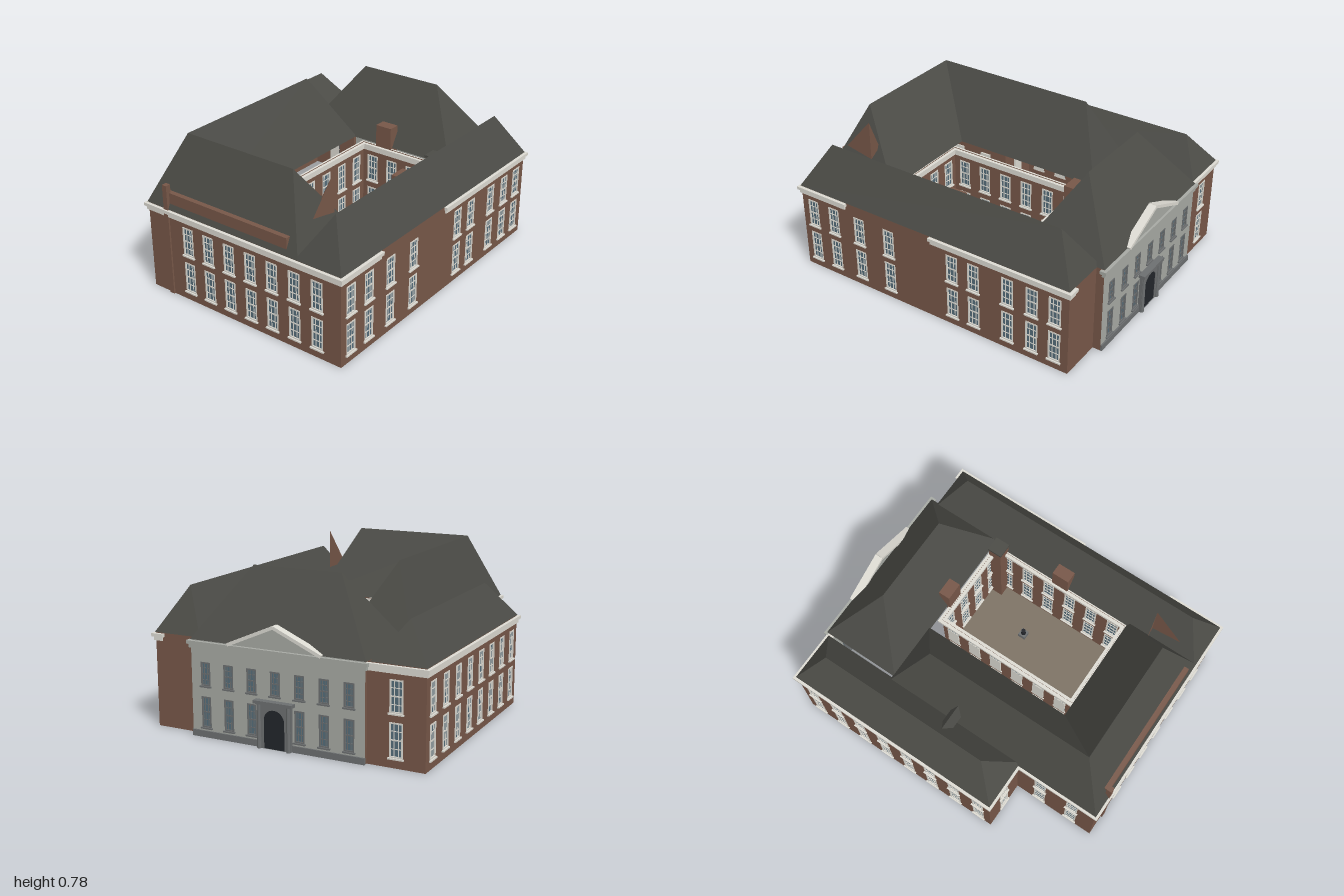
import * as THREE from 'three';
import { mergeGeometries } from 'three/addons/utils/BufferGeometryUtils.js';

const mat = color => new THREE.MeshStandardMaterial({ color, side: THREE.DoubleSide, flatShading: true });
const brick = mat(0x775748);
const roofing = mat(0x4b4b46);
const stone = mat(0xa6a9a3);
const darkStone = mat(0x6c6f70);
const white = mat(0xdcdad2);
const glass = mat(0x546c7a);
const paving = mat(0x7d7264);
const black = mat(0x22252a);

const EAVE = 0.45;
const ROWS = [[0.045, 0.2], [0.24, 0.385]];
const FACADE_ROWS = [[0.045, 0.19], [0.24, 0.35]];

function add(parent, name, geometry, material, x = 0, y = 0, z = 0) {
  const mesh = new THREE.Mesh(geometry, material);
  mesh.name = name;
  mesh.position.set(x, y, z);
  parent.add(mesh);
  return mesh;
}

const box = (w, h, d, x = 0, y = 0, z = 0) => new THREE.BoxGeometry(w, h, d).translate(x, y, z);

function faces(polys) {
  const pos = [];
  for (const p of polys)
    for (let i = 1; i < p.length - 1; i++) pos.push(...p[0], ...p[i], ...p[i + 1]);
  const g = new THREE.BufferGeometry();
  g.setAttribute('position', new THREE.Float32BufferAttribute(pos, 3));
  g.computeVertexNormals();
  return g;
}

// Hipped roof over a rectangle; the ridge runs from r0 to r1, each given as [x, z]
function hipRoof(parent, name, [x0, x1, z0, z1], r0, r1, top) {
  const a = [x0, EAVE, z0], b = [x1, EAVE, z0], c = [x1, EAVE, z1], d = [x0, EAVE, z1];
  const p = [r0[0], top, r0[1]], q = [r1[0], top, r1[1]];
  const alongX = r0[1] === r1[1];
  add(parent, name, faces(alongX
    ? [[d, c, q, p], [b, a, p, q], [a, d, p], [c, b, q]]
    : [[a, d, q, p], [c, b, p, q], [b, a, p], [d, c, q]]), roofing);
}

// Wall from p to q (left to right seen from outside) with window openings at
// the given distances and cornices over the given ranges
function wall(parent, name, p, q, windows = [], cornices = null, o = {}) {
  const dx = q[0] - p[0], dz = q[1] - p[1], len = Math.hypot(dx, dz);
  const g = new THREE.Group();
  g.name = name;
  g.position.set(p[0], 0, p[1]);
  g.rotation.y = Math.atan2(-dz, dx);
  parent.add(g);

  const rect = (shape, x0, y0, x1, y1) =>
    shape.moveTo(x0, y0).lineTo(x1, y0).lineTo(x1, y1).lineTo(x0, y1).closePath();
  const shape = rect(new THREE.Shape(), 0, 0, len, EAVE);
  const frames = [], panes = [], w = o.width || 0.062;
  for (const s of windows) for (const [y0, y1] of o.rows || ROWS) {
    const h = y1 - y0, ym = (y0 + y1) / 2;
    shape.holes.push(rect(new THREE.Path(), s - w / 2, y0, s + w / 2, y1));
    panes.push(new THREE.PlaneGeometry(w, h).translate(s, ym, -0.004));
    frames.push(box(w, h, 0.002, s, ym, -0.007));
    for (const e of [-1, 1]) {
      frames.push(box(0.007, h, 0.006, s + e * (w / 2 - 0.003), ym, -0.001));
      frames.push(box(w, 0.007, 0.006, s, ym + e * (h / 2 - 0.003), -0.001));
      frames.push(box(0.003, h, 0.004, s + e * w / 6, ym, -0.003));
    }
    for (const t of [0.25, 0.5, 0.75])
      frames.push(box(w, t === 0.5 ? 0.006 : 0.003, 0.004, s, y0 + h * t, -0.003));
    frames.push(box(w + 0.012, 0.007, 0.014, s, y0 - 0.003, 0.002));
  }
  add(g, 'wallSurface', new THREE.ShapeGeometry(shape), o.material || brick);
  if (windows.length) {
    add(g, 'windowFrames', mergeGeometries(frames), o.trim || white);
    add(g, 'windowPanes', mergeGeometries(panes), glass);
  }
  for (const [s0, s1] of cornices || [[0, len]]) {
    const m = (s0 + s1) / 2, l = s1 - s0;
    add(g, 'cornice', mergeGeometries([
      box(l + 0.032, 0.016, 0.032, m, 0.438, 0),
      box(l + 0.016, 0.016, 0.016, m, 0.42, 0)]), o.corniceMaterial || white);
  }
  return g;
}

const spread = (n, len) => Array.from({ length: n }, (_, i) => len * (i + 0.5) / n);
const series = (n, start, step) => Array.from({ length: n }, (_, i) => start + step * i);

function extrude(points, depth) {
  return new THREE.ExtrudeGeometry(new THREE.Shape(points.map(p => new THREE.Vector2(...p))),
    { depth, bevelEnabled: false });
}

function arch(w, h) {
  const s = new THREE.Shape();
  s.moveTo(-w / 2, 0).lineTo(w / 2, 0).lineTo(w / 2, h - w / 2);
  s.absarc(0, h - w / 2, w / 2, 0, Math.PI, false);
  return s.closePath();
}

export function createModel() {
  const root = new THREE.Group();
  root.name = 'courtyardBuilding';
  const b = new THREE.Group();
  b.name = 'building';
  b.rotation.y = -0.389;
  root.add(b);

  // Outer walls, counter-clockwise from the front
  wall(b, 'frontWall', [-0.515, 0.808], [0.606, 0.808], series(7, 0.243, 0.125));
  wall(b, 'rightWall', [0.606, 0.808], [0.606, -0.725],
    [0.068, 0.198, 0.358, 0.538, 0.908, 1.028, 1.213, 1.343, 1.462], [[0, 0.271], [0.801, 1.533]]);
  wall(b, 'rightWingBackWall', [0.606, -0.725], [0.385, -0.725], [], [[0, 0.03]]);
  wall(b, 'facadeReturn', [0.385, -0.725], [0.385, -0.765], [], []);
  const facade = wall(b, 'stoneFacade', [0.385, -0.765], [-0.485, -0.765], series(7, 0.075, 0.12), null,
    { material: stone, trim: darkStone, corniceMaterial: stone, width: 0.048, rows: FACADE_ROWS });
  wall(b, 'annexReturn', [-0.485, -0.765], [-0.485, -0.748], [], []);
  wall(b, 'annexBackWall', [-0.485, -0.748], [-0.755, -0.748], [0.135]);
  wall(b, 'annexLeftWall', [-0.755, -0.748], [-0.755, 0.375], spread(8, 1.123));
  wall(b, 'annexFrontWall', [-0.755, 0.375], [-0.515, 0.375], [0.12]);
  wall(b, 'leftWingWall', [-0.515, 0.375], [-0.515, 0.808], [0.13, 0.31]);

  // Courtyard walls
  wall(b, 'courtLeftWall', [-0.12, 0.42], [-0.12, -0.34], spread(6, 0.76));
  wall(b, 'courtBackWall', [-0.12, -0.34], [0.355, -0.34], spread(4, 0.475));
  wall(b, 'courtRightWall', [0.355, -0.34], [0.355, 0.42], spread(6, 0.76));
  wall(b, 'courtFrontWall', [0.355, 0.42], [-0.12, 0.42], spread(4, 0.475));

  // Brick band above the front cornice, and the corner pier
  add(b, 'frontParapet', box(0.71, 0.085, 0.026, -0.045, 0.4875, 0.787), brick);
  add(b, 'cornerPier', box(0.026, 0.57, 0.026, -0.397, 0.285, 0.803), brick);

  // Roofs
  hipRoof(b, 'annexRoof', [-0.758, -0.5, -0.752, 0.38], [-0.63, -0.635], [-0.63, 0.25], 0.62);
  hipRoof(b, 'leftWingRoof', [-0.52, -0.19, -0.37, 0.812], [-0.38, -0.2], [-0.38, 0.66], 0.78);
  hipRoof(b, 'frontWingRoof', [-0.52, 0.38, 0.425, 0.812], [-0.38, 0.66], [0.238, 0.66], 0.78);
  hipRoof(b, 'backWingRoof', [-0.49, 0.388, -0.768, -0.36], [-0.265, -0.55], [0.18, -0.55], 0.77);
  hipRoof(b, 'rightWingRoof', [0.362, 0.61, -0.728, 0.812], [0.49, -0.605], [0.49, 0.69], 0.66);

  // Brick gable, dormers and the tower in the courtyard corner
  add(b, 'brickGable', faces([[[0.375, 0.57, 0.55], [0.375, 0.6, 0.7], [0.375, 0.77, 0.55]],
    [[0.375, 0.77, 0.55], [0.375, 0.57, 0.55], [0.3, 0.6, 0.56]]]), brick);
  add(b, 'backDormer', box(0.09, 0.14, 0.06, 0, 0.49, -0.375), brick);
  add(b, 'rightDormer', box(0.06, 0.14, 0.09, 0.38, 0.49, 0.04), brick);
  add(b, 'cornerTower', box(0.07, 0.5, 0.07, 0.335, 0.25, -0.315), brick);
  add(b, 'cornerTowerRoof', box(0.076, 0.012, 0.076, 0.335, 0.506, -0.315), roofing);
  const valley = extrude([[-0.03, 0], [0.03, 0], [0, 0.06]], 0.15).rotateY(Math.PI / 2);
  add(b, 'valleyRoof', valley, roofing, -0.6, 0.52, 0.006);

  // Pediment, plinth and arched entrance on the stone facade
  add(facade, 'pediment', extrude([[-0.23, 0], [0.23, 0], [0, 0.1]], 0.02), stone, 0.435, EAVE, -0.012);
  for (const e of [-1, 1]) {
    const rake = box(0.255, 0.015, 0.04).rotateZ(-e * Math.atan2(0.1, 0.23));
    add(facade, 'pedimentRake', rake, white, 0.435 + e * 0.117, EAVE + 0.049, -0.003);
  }
  add(facade, 'plinth', box(0.87, 0.03, 0.012, 0.435, 0.015, 0.002), darkStone);
  const surround = new THREE.Shape().moveTo(-0.085, 0).lineTo(0.085, 0)
    .lineTo(0.085, 0.205).lineTo(-0.085, 0.205).closePath();
  surround.holes.push(arch(0.105, 0.18));
  add(facade, 'doorSurround', new THREE.ExtrudeGeometry(surround, { depth: 0.016, bevelEnabled: false }),
    darkStone, 0.435, 0, 0);
  add(facade, 'door', new THREE.ShapeGeometry(arch(0.105, 0.18)), black, 0.435, 0, 0.012);
  add(facade, 'doorCornice', box(0.195, 0.015, 0.036, 0.435, 0.212, 0.014), darkStone);
  for (const e of [-1, 1])
    add(facade, 'doorColumn', new THREE.CylinderGeometry(0.008, 0.01, 0.205, 10), darkStone,
      0.435 + e * 0.074, 0.1025, 0.018);

  // Courtyard paving and the well in its middle
  add(b, 'courtyardPaving', box(0.475, 0.006, 0.76, 0.1175, 0.003, 0.04), paving);
  add(b, 'wellBase', box(0.04, 0.03, 0.04, 0.176, 0.02, -0.054), darkStone);
  add(b, 'wellHead', new THREE.CylinderGeometry(0.011, 0.013, 0.04, 12), black, 0.176, 0.05, -0.054);

  return root;
}
